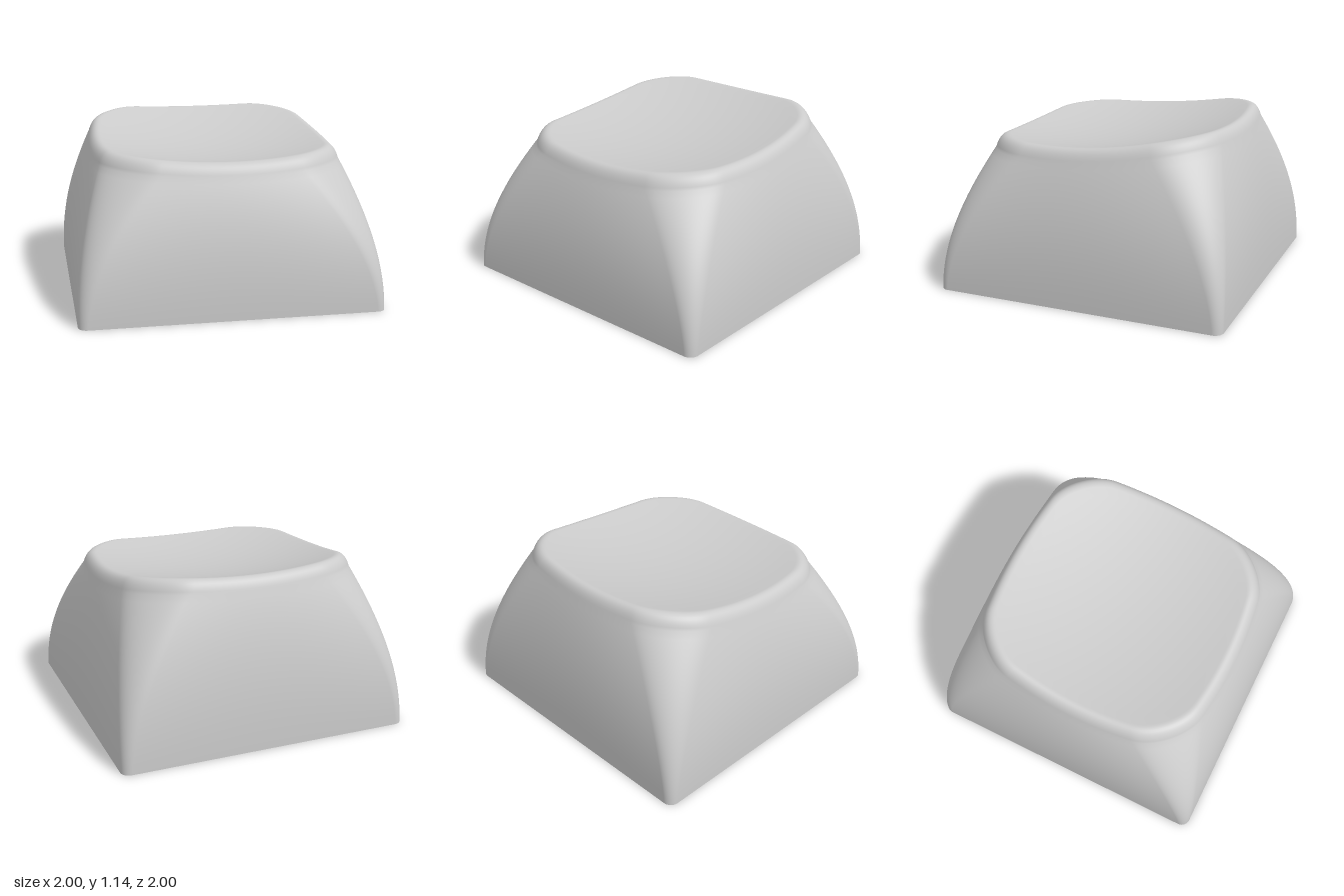
import * as THREE from 'three';
import { mergeVertices, toCreasedNormals } from 'three/addons/utils/BufferGeometryUtils.js';

const SIDE = 16, ARC = 14;
const CEILING = 0.86, STEM_BASE = 0.06, SOCKET_TOP = 0.48;

// Rounded square outline: t = 0 at the base, 1 at the top, where it is
// narrower, with larger corner radii and bowed sides.
function outline(t) {
  const a = 1 - 0.155 * t ** 2.4;
  const r = 0.06 + 0.27 * t ** 1.4;
  const bow = 0.115 * t ** 2;
  const s = a - r;
  const quarter = [];
  for (let i = 0; i < SIDE; i++) quarter.push([a, -s + (2 * s * i) / SIDE]);
  for (let i = 0; i < ARC; i++) {
    const q = (i / ARC) * Math.PI / 2;
    quarter.push([s + r * Math.cos(q), s + r * Math.sin(q)]);
  }
  const points = [];
  for (let k = 0; k < 4; k++) {
    for (const [u, v] of quarter) {
      const bu = u * (1 - bow * (v / a) ** 2);
      const bv = v * (1 - bow * (u / a) ** 2);
      points.push([[bu, bv], [-bv, bu], [-bu, -bv], [bv, -bu]][k]);
    }
  }
  return points;
}

// Height of the scooped top, rising towards the back
const dish = (x, z) => 0.953 - 0.09 * z + 0.17 * z * z + 0.14 * x * x;

// Outer skin: curved walls, rounded rim and scooped top in one loft
function shellGeometry() {
  const rim = outline(1);
  const shoulder = rim.map(([x, z]) => dish(x * 0.95, z * 0.95) - 0.1);
  const rings = [];
  const WALL = 24, FILLET = 10, TOP = 16, INSET = 0.89;

  for (let i = 0; i <= WALL; i++) {
    const t = i / WALL;
    rings.push(outline(t).map(([x, z], j) => [x, shoulder[j] * t, z]));
  }
  for (let i = 1; i <= FILLET; i++) {
    const t = i / FILLET, w0 = (1 - t) ** 2, w1 = 2 * t * (1 - t), w2 = t * t;
    rings.push(rim.map(([x, z], j) => {
      const k = w0 + w1 * 0.965 + w2 * INSET;
      const control = dish(x * 0.965, z * 0.965);
      const y = w0 * shoulder[j] + w1 * control + w2 * dish(x * INSET, z * INSET);
      return [x * k, y, z * k];
    }));
  }
  for (let i = 1; i <= TOP; i++) {
    const k = INSET * (1 - i / TOP);
    rings.push(rim.map(([x, z]) => [x * k, dish(x * k, z * k), z * k]));
  }

  const n = rim.length, index = [];
  for (let i = 0; i < rings.length - 1; i++) {
    for (let j = 0; j < n; j++) {
      const a = i * n + j, b = i * n + (j + 1) % n;
      index.push(a, a + n, b);
      if (i < rings.length - 2) index.push(b, a + n, b + n);
    }
  }
  const g = new THREE.BufferGeometry();
  g.setAttribute('position', new THREE.Float32BufferAttribute(rings.flat(2), 3));
  g.setIndex(index);
  const merged = mergeVertices(g);
  merged.computeVertexNormals();
  return merged;
}

// Flat underside between the outer wall and the square opening
function baseGeometry(h) {
  const shape = new THREE.Shape(outline(0).map(([x, z]) => new THREE.Vector2(x, z)));
  shape.holes.push(new THREE.Path(
    [[-h, -h], [-h, h], [h, h], [h, -h]].map(([x, y]) => new THREE.Vector2(x, y))));
  return new THREE.ShapeGeometry(shape).rotateX(Math.PI / 2);
}

// Round stem end with a cross-shaped socket
function socketGeometry(radius) {
  const shape = new THREE.Shape().absarc(0, 0, radius, 0, Math.PI * 2);
  const l = 0.22, w = 0.065;
  const cross = [[l, -w], [l, w], [w, w], [w, l], [-w, l], [-w, w],
    [-l, w], [-l, -w], [-w, -w], [-w, -l], [w, -l], [w, -w]];
  shape.holes.push(new THREE.Path(cross.map(([x, y]) => new THREE.Vector2(x, y))));
  const g = new THREE.ExtrudeGeometry(shape, {
    depth: SOCKET_TOP - STEM_BASE, bevelEnabled: false, curveSegments: 32 });
  g.rotateX(-Math.PI / 2).translate(0, STEM_BASE, 0);
  return toCreasedNormals(g, 0.6);
}

export function createModel() {
  const group = new THREE.Group();
  const grey = new THREE.MeshStandardMaterial({ color: 0xcccccc });
  const inside = new THREE.MeshStandardMaterial({
    color: 0xcccccc, side: THREE.DoubleSide, flatShading: true });
  const add = (name, geometry, material = grey) => {
    const mesh = new THREE.Mesh(geometry, material);
    mesh.name = name;
    group.add(mesh);
  };

  add('outerShell', shellGeometry());

  // Hollow underside with sloping walls
  const opening = 0.835, ceilingHalf = 0.63, stemRadius = 0.3;
  add('baseRim', baseGeometry(opening));
  add('cavityWalls', new THREE.CylinderGeometry(
    ceilingHalf * Math.SQRT2, opening * Math.SQRT2, CEILING, 4, 1, true, Math.PI / 4)
    .translate(0, CEILING / 2, 0), inside);
  add('cavityCeiling', new THREE.PlaneGeometry(ceilingHalf * 2, ceilingHalf * 2)
    .rotateX(Math.PI / 2).translate(0, CEILING, 0), inside);

  // Stem
  add('stemSocket', socketGeometry(stemRadius));
  add('stemUpper', new THREE.CylinderGeometry(
    stemRadius, stemRadius, CEILING - SOCKET_TOP, 64)
    .translate(0, (CEILING + SOCKET_TOP) / 2, 0));

  // Crossed ribs bracing the stem against the walls
  const ribBase = 0.53, ribHeight = CEILING - ribBase;
  for (const [name, angle] of [['sideRib', 0], ['frontBackRib', Math.PI / 2]]) {
    add(name, new THREE.BoxGeometry(1.42, ribHeight, 0.09)
      .translate(0, ribBase + ribHeight / 2, 0).rotateY(angle));
  }
  return group;
}
